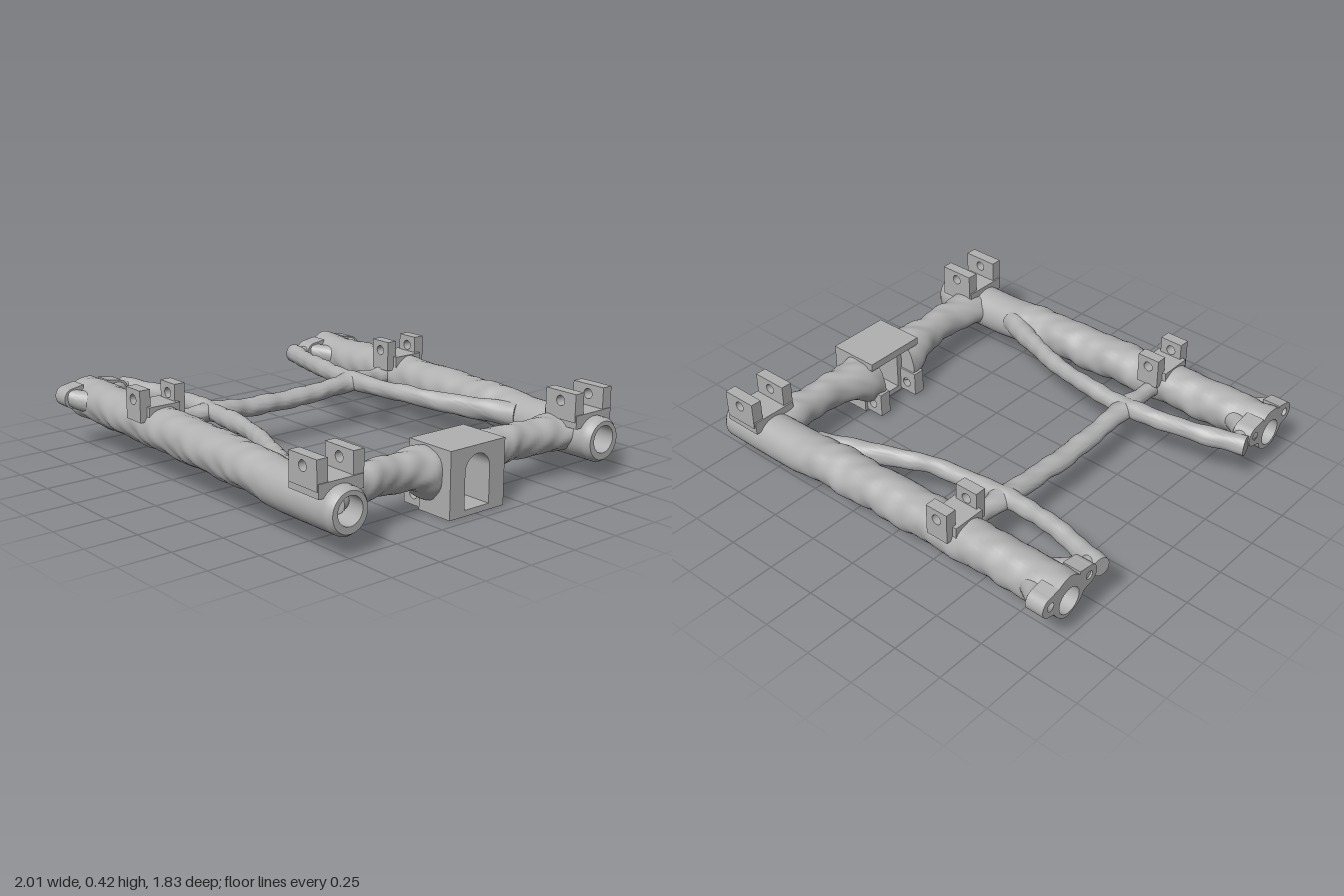
import * as THREE from 'three';
import { toCreasedNormals } from 'three/addons/utils/BufferGeometryUtils.js';

const UP = new THREE.Vector3(0, 1, 0);
const SIDES = 36;

// Smooth lumps that give the limbs an organic, cast surface
function lump(p) {
  return 0.45 * Math.sin(19 * p.x + 13 * p.z + 2) * Math.sin(23 * p.y + 11 * p.z)
    + 0.35 * Math.sin(37 * p.x - 29 * p.y + 1) * Math.cos(31 * p.z + 17 * p.x)
    + 0.2 * Math.sin(61 * p.z + 53 * p.y + 47 * p.x);
}

// Skin a list of rings {c, side, h, v, n}: centre, sideways axis, half width, half height, lumpiness
function loft(rings) {
  const pos = [], index = [];
  rings.forEach((r, i) => {
    for (let j = 0; j < SIDES; j++) {
      const a = (j / SIDES) * Math.PI * 2;
      const d = r.side.clone().multiplyScalar(r.h * Math.cos(a)).addScaledVector(UP, r.v * Math.sin(a));
      const p = r.c.clone().add(d);
      if (r.n) p.addScaledVector(d.normalize(), r.n * lump(p));
      pos.push(p.x, p.y, p.z);
      if (i < rings.length - 1) {
        const A = i * SIDES + j, B = i * SIDES + (j + 1) % SIDES;
        index.push(A, A + SIDES, B, B, A + SIDES, B + SIDES);
      }
    }
  });
  const g = new THREE.BufferGeometry();
  g.setAttribute('position', new THREE.Float32BufferAttribute(pos, 3));
  g.setIndex(index);
  return toCreasedNormals(g, 0.75);
}

// Rings along a smooth path; each point is [x, y, z, half width, half height]
function pathRings(pts, steps, noise) {
  const path = new THREE.CatmullRomCurve3(pts.map(p => new THREE.Vector3(p[0], p[1], p[2])));
  const size = new THREE.CatmullRomCurve3(pts.map(p => new THREE.Vector3(p[3], p[4], p[0] + p[2])));
  const rings = [];
  for (let i = 0; i <= steps; i++) {
    const t = i / steps, s = size.getPoint(t);
    const side = path.getTangent(t).cross(UP).normalize();
    rings.push({ c: path.getPoint(t), side, h: s.x, v: s.y, n: noise });
  }
  return rings;
}

// Solid limb with closed ends
function limb(pts, steps, noise) {
  const rings = pathRings(pts, steps, noise);
  const cap = r => ({ ...r, h: 0, v: 0, n: 0 });
  return loft([cap(rings[0]), ...rings, cap(rings[rings.length - 1])]);
}

function circleHole(shape, x, y, r) {
  shape.holes.push(new THREE.Path().absarc(x, y, r, 0, Math.PI * 2, true));
}

function rectShape(x0, x1, y0, y1) {
  return new THREE.Shape([[x0, y0], [x1, y0], [x1, y1], [x0, y1]].map(p => new THREE.Vector2(...p)));
}

const extrude = (shape, depth) =>
  new THREE.ExtrudeGeometry(shape, { depth, bevelEnabled: false, curveSegments: 20 });

// Plate drawn in x,y between two z values
const plateZ = (shape, z0, z1) => extrude(shape, z1 - z0).translate(0, 0, z0);
// Block drawn in z,y between two x values
const blockX = (shape, x0, x1) => extrude(shape, x1 - x0).rotateY(-Math.PI / 2).translate(x1, 0, 0);

export function createModel() {
  const model = new THREE.Group();
  model.name = 'swingFrame';
  const metal = new THREE.MeshStandardMaterial({ color: 0xb0b0b0 });
  metal.name = 'grey metal';
  const add = (name, geometry, parent = model) => {
    const m = new THREE.Mesh(geometry, metal);
    m.name = name;
    parent.add(m);
    return m;
  };
  const box = (x0, x1, y0, y1, z0, z1) =>
    new THREE.BoxGeometry(x1 - x0, y1 - y0, Math.abs(z1 - z0))
      .translate((x0 + x1) / 2, (y0 + y1) / 2, (z0 + z1) / 2);

  for (const s of [1, -1]) {
    const side = new THREE.Group();
    side.name = s > 0 ? 'frontSide' : 'backSide';
    model.add(side);
    const z = 0.745 * s;

    // Hollow rail: lumpy outside, bevelled mouth, smooth bore
    const rings = pathRings([
      [-1, 0.236, z, 0.1, 0.102], [-0.6, 0.233, z, 0.103, 0.1], [-0.2, 0.227, z, 0.103, 0.102],
      [0.15, 0.217, z, 0.104, 0.1], [0.42, 0.209, z, 0.104, 0.1], [0.56, 0.192, z, 0.105, 0.103],
      [0.98, 0.19, z, 0.105, 0.104]], 90, 0.01);
    rings.forEach(r => {
      r.side.set(0, 0, 1);
      r.n *= THREE.MathUtils.clamp((0.6 - r.c.x) * 4, 0.1, 1);
    });
    const ring = (x, y, r) => ({ c: new THREE.Vector3(x, y, z), side: new THREE.Vector3(0, 0, 1), h: r, v: r, n: 0 });
    rings.push(ring(1, 0.19, 0.09), ring(1, 0.196, 0.064), ring(-1, 0.213, 0.064), rings[0]);
    add('rail', loft(rings), side);

    // Drilled ears on either side of the rear mouth
    for (const [name, inner, outer] of [['outerEar', 0.812, 0.865], ['innerEar', 0.678, 0.615]]) {
      const d = Math.sign(outer - inner) * s, c = outer * s, y = 0.262, r = 0.05;
      const ear = new THREE.Shape();
      ear.moveTo(inner * s, y - r - 0.02);
      ear.lineTo(c, y - r);
      ear.absarc(c, y, r, -Math.PI / 2, Math.PI / 2, d < 0);
      ear.lineTo(inner * s, y + r + 0.01);
      circleHole(ear, c, y, 0.02);
      add(name, blockX(ear, -1, -0.91), side);
      add(name + 'Root', limb([[-0.93, y, c, 0.045, 0.046], [-0.88, 0.25, (outer * 0.7 + 0.2235) * s, 0.045, 0.05],
        [-0.76, 0.24, z, 0.05, 0.05]], 12, 0.004), side);
    }

    // Curved brace on the inner side of the rail
    add('brace', limb([
      [-1, 0.25, 0.54 * s, 0.045, 0.048], [-0.7, 0.25, 0.465 * s, 0.04, 0.045],
      [-0.39, 0.24, 0.44 * s, 0.043, 0.045], [0, 0.235, 0.485 * s, 0.037, 0.043],
      [0.25, 0.225, 0.57 * s, 0.04, 0.05], [0.52, 0.215, 0.69 * s, 0.06, 0.06]], 60, 0.007), side);
    // Web joining the brace end to the rail
    add('braceWeb', limb([[-0.95, 0.25, 0.53 * s, 0.04, 0.04], [-0.95, 0.25, 0.68 * s, 0.045, 0.05]], 8, 0.003), side);

    // Clevis brackets: saddle plus two drilled lugs
    for (const [name, x0, x1, y0, top, s0, s1, saddleTop, hx, hy] of [
      ['rearBracket', -0.44, -0.325, 0.27, 0.42, -0.46, -0.305, 0.34, -0.383, 0.37],
      ['frontBracket', 0.758, 0.935, 0.28, 0.412, 0.75, 0.94, 0.312, 0.846, 0.367]]) {
      const bracket = new THREE.Group();
      bracket.name = name;
      side.add(bracket);
      const rear = s0 < 0;
      add('saddle', box(s0, s1, 0.25, saddleTop, (rear ? 0.66 : 0.625) * s, (rear ? 0.825 : 0.855) * s), bracket);
      for (const [a, b] of [[0.62, 0.675], [0.805, 0.86]]) {
        const lug = rectShape(x0, x1, y0, top);
        circleHole(lug, hx, hy, 0.024);
        add('lug', plateZ(lug, s > 0 ? a : -b, s > 0 ? b : -a), bracket);
      }
    }

    // Half of the thick front crossbar, flaring into rail and housing
    add('frontCrossbar', limb([
      [0.8, 0.2, 0.72 * s, 0.13, 0.085], [0.795, 0.205, 0.62 * s, 0.098, 0.085],
      [0.795, 0.21, 0.5 * s, 0.08, 0.082], [0.79, 0.21, 0.35 * s, 0.073, 0.085],
      [0.785, 0.2, 0.23 * s, 0.098, 0.095], [0.785, 0.175, 0.16 * s, 0.115, 0.122],
      [0.785, 0.165, 0.1 * s, 0.115, 0.13]], 50, 0.012));

    // Drilled lug behind the housing
    const lug = rectShape(0.656, 0.79, 0.008, 0.13);
    circleHole(lug, 0.714, 0.06, 0.024);
    add('housingLug', plateZ(lug, s > 0 ? 0.09 : -0.15, s > 0 ? 0.15 : -0.09));
  }

  // Thin rear crossbar running between both rails
  const bar = [];
  for (const [z, y, h, v] of [[0.7, 0.23, 0.05, 0.05], [0.56, 0.232, 0.037, 0.042], [0.45, 0.236, 0.062, 0.045],
    [0.36, 0.228, 0.05, 0.045], [0.2, 0.215, 0.05, 0.045]]) bar.push([-0.39, y, z, h, v]);
  const mirrored = bar.map(([x, y, z, h, v]) => [x, y, -z, h, v]).reverse();
  add('rearCrossbar', limb([...bar, [-0.393, 0.21, 0, 0.052, 0.045], ...mirrored], 80, 0.008));

  // Square housing with an arched opening right through it
  const housing = rectShape(-0.165, 0.155, 0, 0.306);
  const arch = new THREE.Path();
  arch.moveTo(-0.075, 0.028);
  arch.lineTo(-0.075, 0.195);
  arch.absarc(-0.003, 0.195, 0.072, Math.PI, 0, true);
  arch.lineTo(0.069, 0.028);
  housing.holes.push(arch);
  add('housing', blockX(housing, 0.755, 0.945));
  add('housingRoof', box(0.69, 0.76, 0.268, 0.306, -0.165, 0.155));
  return model;
}
